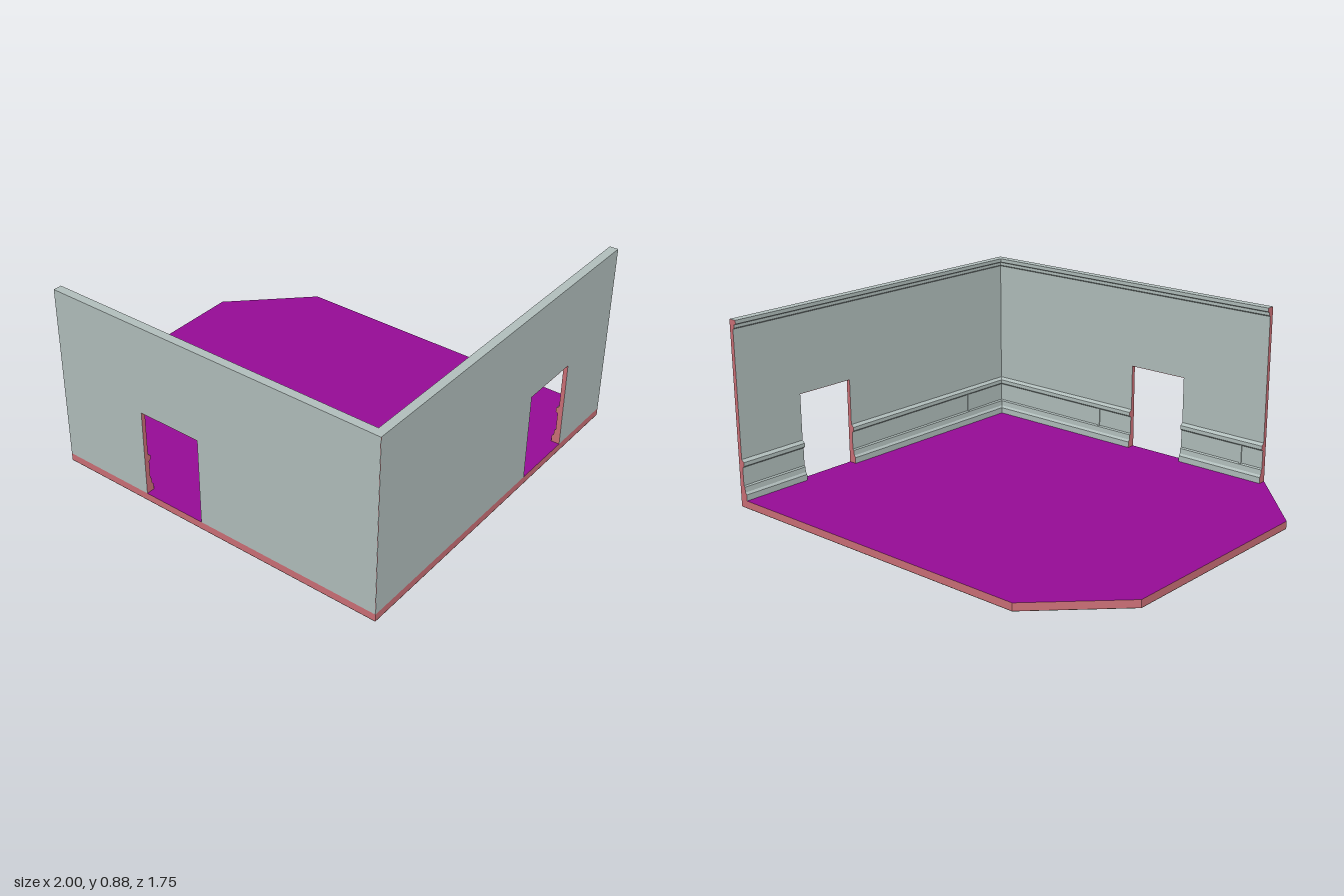
import * as THREE from 'three';

const mat = (color) => new THREE.MeshStandardMaterial({ color });
const plaster = mat(0xb2bfbd);
const cutRed = mat(0xcc7077);
const purple = mat(0x960c96);
const green = mat(0x3a5a45);

const D = 0.873; // half depth
const FLOOR = 0.036, DOOR = 0.456, TOP = 0.875;

const shapeOf = (pts) => new THREE.Shape(pts.map(([x, y]) => new THREE.Vector2(x, y)));

// Wall cross-sections: depth inward from the outer face, height
const lowerProfile = shapeOf([
  [0, FLOOR], [0.04, FLOOR], [0.04, 0.065], [0.032, 0.075], [0.03, 0.1], [0.024, 0.106],
  [0.024, 0.192], [0.034, 0.2], [0.034, 0.218], [0.02, 0.23], [0.02, DOOR], [0, DOOR],
]);
const upperProfile = shapeOf([
  [0, DOOR], [0.02, DOOR], [0.02, 0.832], [0.028, 0.838], [0.028, 0.852],
  [0.04, 0.858], [0.04, TOP], [0, TOP],
]);

// Extrudes a cross-section along the wall; cut ends are red
function run(name, profile, from, to) {
  const geo = new THREE.ExtrudeGeometry(profile, { depth: to - from, bevelEnabled: false });
  geo.translate(0, 0, from);
  const mesh = new THREE.Mesh(geo, [cutRed, plaster]);
  mesh.name = name;
  return mesh;
}

function box(name, material, w, h, d, x, y, z) {
  const mesh = new THREE.Mesh(new THREE.BoxGeometry(w, h, d), material);
  mesh.position.set(x, y, z);
  mesh.name = name;
  return mesh;
}

// Wall with a doorway; local x points into the room, local z runs along the wall
function wall(name, start, end, doorStart, doorEnd, seams) {
  const g = new THREE.Group();
  g.name = name;
  g.add(
    run('lowerWall', lowerProfile, start, doorStart),
    run('lowerWall', lowerProfile, doorEnd, end),
    run('upperWall', upperProfile, start, end),
    box('doorHead', cutRed, 0.0196, 0.002, doorEnd - doorStart, 0.01, DOOR - 0.001, (doorStart + doorEnd) / 2),
  );
  // Upright battens between the wainscot panels
  for (const s of seams) g.add(box('panelBatten', plaster, 0.006, 0.1, 0.012, 0.025, 0.148, s));
  return g;
}

export function createModel() {
  const model = new THREE.Group();
  model.name = 'roomCorner';

  // Floor slab with two clipped corners
  const plan = shapeOf([
    [-1, -0.52], [-0.66, -D], [1, -D], [1, D], [-0.645, D], [-1, 0.525],
  ]);
  const slabGeo = new THREE.ExtrudeGeometry(plan, { depth: FLOOR - 0.001, bevelEnabled: false });
  slabGeo.rotateX(-Math.PI / 2).translate(0, 0.001, 0);
  const slab = new THREE.Mesh(slabGeo, [purple, cutRed]);
  slab.name = 'floorSlab';

  // Underside of the floor, facing down
  const underGeo = new THREE.ShapeGeometry(plan);
  underGeo.rotateX(-Math.PI / 2);
  const underMat = green.clone();
  underMat.side = THREE.DoubleSide;
  const under = new THREE.Mesh(underGeo, underMat);
  under.name = 'floorUnderside';

  // Front wall
  const front = wall('frontWall', -0.66, 0.999, -0.2, 0.108, [0.31, -0.54]);
  front.rotation.y = Math.PI / 2;
  front.position.z = D;

  // Side wall on the model's left
  const side = wall('leftWall', -D + 0.001, D, 0.217, 0.52, [-0.59]);
  side.rotation.y = Math.PI;
  side.position.x = 1;

  model.add(slab, under, front, side);
  return model;
}
